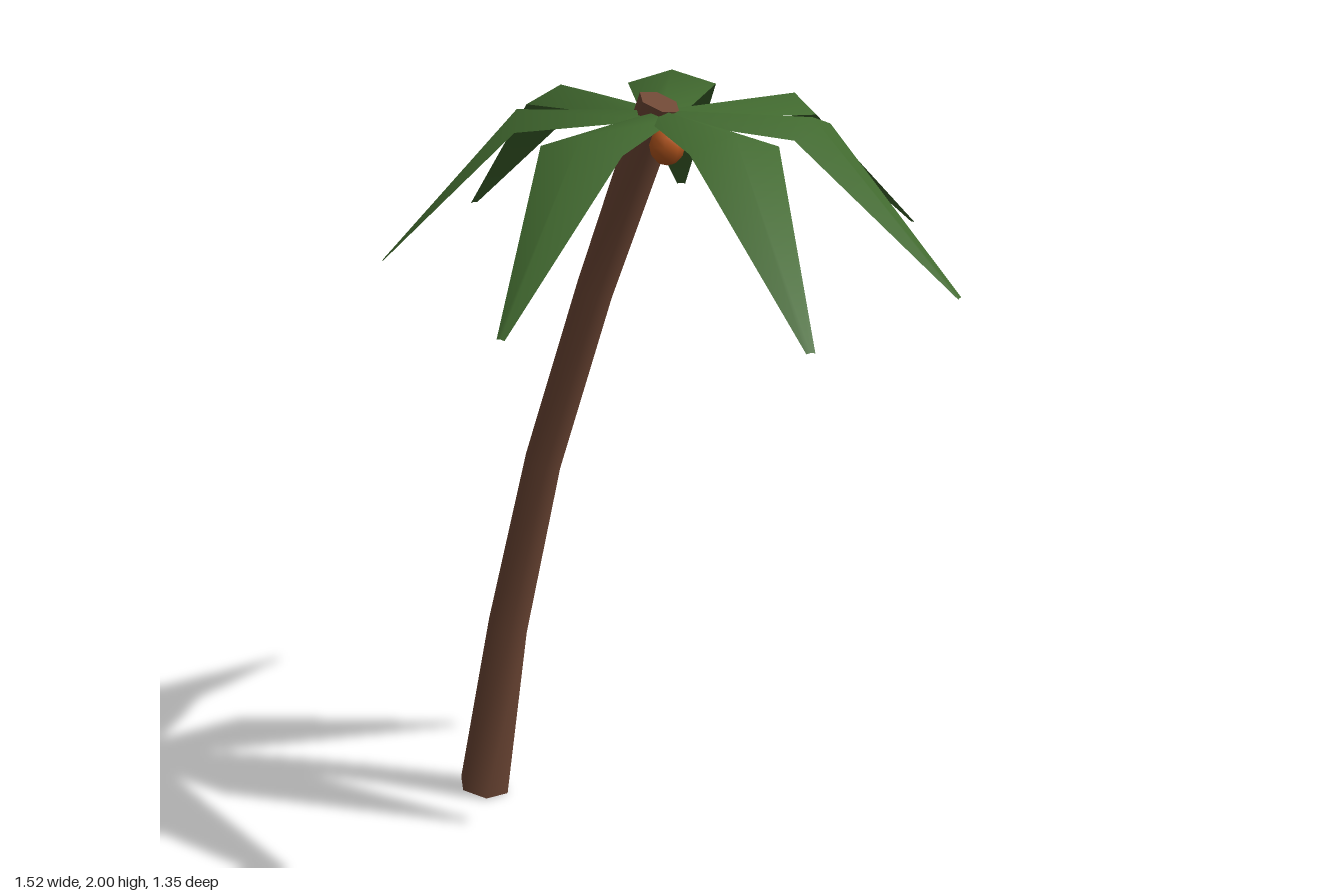
import * as THREE from 'three';
import { mergeVertices, toCreasedNormals } from 'three/addons/utils/BufferGeometryUtils.js';

const bark = new THREE.MeshStandardMaterial({ color: 0x6e4735 });
bark.name = 'bark brown';
const green = new THREE.MeshStandardMaterial({ color: 0x41692f, side: THREE.DoubleSide });
green.name = 'leaf green';
const orange = new THREE.MeshStandardMaterial({ color: 0xb8581f });
orange.name = 'fruit orange';

function addMesh(parent, name, geometry, material) {
  const mesh = new THREE.Mesh(geometry, material);
  mesh.name = name;
  parent.add(mesh);
  return mesh;
}

// Six-sided trunk: rings follow a leaning curve and tilt square to it
function trunkGeometry() {
  // x, y, z, radius from bottom to top
  const rings = [
    [-0.632, 0.018, 0.176, 0.07],
    [-0.54, 0.51, 0.15, 0.055],
    [-0.408, 1.0, 0.12, 0.048],
    [-0.235, 1.485, 0.077, 0.046],
    [-0.038, 1.98, 0.024, 0.051],
  ];
  const last = rings.length - 1;
  const geo = new THREE.CylinderGeometry(1, 1, 1, 6, last);
  const p = geo.attributes.position;
  for (let i = 0; i < p.count; i++) {
    const k = Math.round((p.getY(i) + 0.5) * last);
    const [cx, cy, cz, r] = rings[k];
    const a = rings[Math.max(k - 1, 0)], b = rings[Math.min(k + 1, last)];
    const dy = b[1] - a[1];
    const x = p.getX(i) * r, z = p.getZ(i) * r;
    const tilt = (x * (b[0] - a[0]) + z * (b[2] - a[2])) / dy;
    p.setXYZ(i, cx + x, cy - tilt, cz + z);
  }
  geo.deleteAttribute('normal');
  geo.deleteAttribute('uv');
  return toCreasedNormals(mergeVertices(geo, 1e-4), 1.25);
}

// Leaf: root, wide middle and narrow tip, folded along a raised midrib
function leafGeometry(length, midY, tipY) {
  const reach = [0, length * 0.51, length];
  const half = [0.045, 0.112, 0.011];
  const height = [1.96, midY, tipY];
  const fold = [0.015, 0.035, 0.002];
  const geo = new THREE.PlaneGeometry(2, 2, 2, 2).rotateX(-Math.PI / 2);
  const p = geo.attributes.position;
  for (let i = 0; i < p.count; i++) {
    const x = Math.round(p.getX(i)), row = Math.round(p.getZ(i)) + 1;
    p.setXYZ(i, x * half[row], height[row] - Math.abs(x) * fold[row], reach[row]);
  }
  geo.computeVertexNormals();
  return geo;
}

export function createModel() {
  const tree = new THREE.Group();
  tree.name = 'palmTree';

  addMesh(tree, 'trunk', trunkGeometry(), bark);

  // Crown of seven leaves: heading, length, middle height, tip height
  const crown = new THREE.Group();
  crown.name = 'crown';
  crown.position.set(-0.037, 0, 0.02);
  tree.add(crown);
  [
    [2.93, 0.713, 1.972, 1.612],
    [2.04, 0.769, 1.975, 1.58],
    [1.318, 0.819, 1.976, 1.568],
    [0.355, 0.69, 1.958, 1.554],
    [-0.67, 0.68, 1.962, 1.592],
    [-1.488, 0.722, 1.972, 1.615],
    [-2.3, 0.818, 1.983, 1.602],
  ].forEach(([heading, length, midY, tipY], i) => {
    addMesh(crown, `leaf${i + 1}`, leafGeometry(length, midY, tipY), green).rotation.y = heading;
  });

  // Fruit hanging beside the trunk top
  const fruit = addMesh(tree, 'fruit', new THREE.SphereGeometry(0.044, 8, 6), orange);
  fruit.scale.y = 1.1;
  fruit.position.set(-0.005, 1.88, 0.028);

  return tree;
}
